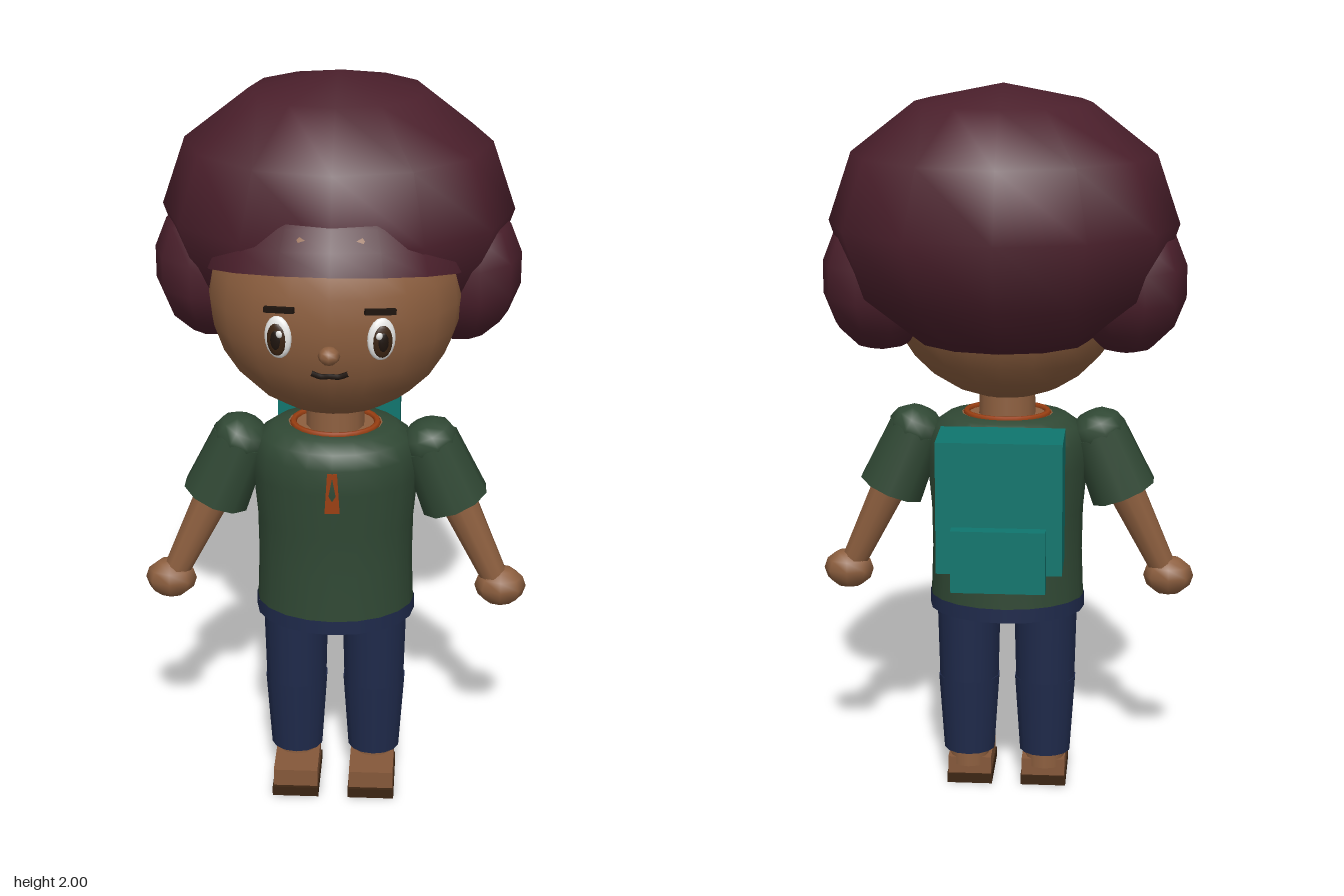
import * as THREE from 'three';

const paint = (name, color, opts = {}) => {
  const m = new THREE.MeshStandardMaterial({ color, ...opts });
  m.name = name;
  return m;
};

export function createModel() {
  const root = new THREE.Group();
  root.name = 'child';
  const both = { side: THREE.DoubleSide };
  const hair = paint('hairMaroon', 0x4a1f2b, both);
  const skin = paint('skinBrown', 0x8d5f3f);
  const shirt = paint('shirtGreen', 0x304834, both);
  const navy = paint('trouserNavy', 0x1f2a4b, both);
  const teal = paint('bagTeal', 0x0f766e);
  const orange = paint('trimOrange', 0x9a3f12);
  const shoe = paint('shoeTan', 0x85583a);
  const sole = paint('darkBrown', 0x3b2412);
  const white = paint('eyeWhite', 0xf0f0ee);
  const dark = paint('nearBlack', 0x1e140e);

  const add = (name, geo, mat, pos = [0, 0, 0], scale = [1, 1, 1], parent = root) => {
    const m = new THREE.Mesh(geo, mat);
    m.name = name;
    m.position.set(...pos);
    m.scale.set(...scale);
    parent.add(m);
    return m;
  };
  const ball = (name, mat, pos, size, ws = 16, hs = 12, parent = root, theta = Math.PI) =>
    add(name, new THREE.SphereGeometry(1, ws, hs, 0, Math.PI * 2, 0, theta), mat, pos, size, parent);
  const box = (name, mat, pos, size, parent = root) =>
    add(name, new THREE.BoxGeometry(...size), mat, pos, [1, 1, 1], parent);
  // Tapered limb between two points
  const limb = (name, mat, a, b, ra, rb, seg = 12) => {
    const p = new THREE.Vector3(...a), q = new THREE.Vector3(...b);
    const d = p.clone().sub(q);
    const m = add(name, new THREE.CylinderGeometry(ra, rb, d.length(), seg), mat);
    m.position.copy(p).add(q).multiplyScalar(0.5);
    m.quaternion.setFromUnitVectors(new THREE.Vector3(0, 1, 0), d.normalize());
    return m;
  };

  // Head and neck
  const C = [0, 1.465, 0.1], R = [0.33, 0.33, 0.29];
  const faceZ = (x, y) => C[2] + R[2] * Math.sqrt(1 - (x / R[0]) ** 2 - ((y - C[1]) / R[1]) ** 2);
  ball('head', skin, C, R, 20, 14);
  add('neck', new THREE.CylinderGeometry(0.075, 0.08, 0.18, 14), skin, [0, 1.12, 0.1]);

  // Hair: large cap, fringe shell and side puffs
  ball('hairCap', hair, [0, 1.64, -0.05], [0.46, 0.36, 0.375], 12, 5, root, Math.PI * 5 / 6);
  const fringe = ball('fringe', hair, [0, 1.465, 0.1], [0.345, 0.345, 0.303], 16, 8, root, 1.41);
  fringe.rotation.x = -0.26;
  for (const s of [1, -1])
    ball('hairPuff', hair, [s * 0.325, 1.485, -0.03], [0.16, 0.195, 0.178], 10, 7);

  // Face
  ball('nose', skin, [0, 1.4, 0.398], [0.028, 0.024, 0.026], 8, 6);
  for (const s of [1, -1]) {
    const eye = new THREE.Group();
    eye.name = 'eye';
    eye.position.set(s * 0.128, 1.435, faceZ(0.128, 1.435));
    eye.rotation.y = s * 0.35;
    root.add(eye);
    ball('eyeball', white, [0, 0, 0], [0.037, 0.056, 0.016], 16, 10, eye);
    ball('iris', sole, [0, -0.003, 0.01], [0.026, 0.043, 0.009], 16, 10, eye);
    ball('pupil', dark, [0, -0.003, 0.015], [0.015, 0.027, 0.006], 12, 8, eye);
    ball('eyeGlint', white, [-s * 0.012, 0.016, 0.02], [0.009, 0.01, 0.005], 8, 6, eye);
    const brow = box('eyebrow', dark, [s * 0.125, 1.508, faceZ(0.125, 1.508) + 0.003], [0.08, 0.014, 0.012]);
    brow.rotation.set(0, s * 0.35, -s * 0.1);
  }
  const lip = [[-0.046, 1.34], [-0.022, 1.331], [0, 1.333], [0.022, 1.331], [0.046, 1.34]]
    .map(([x, y]) => new THREE.Vector3(x, y, faceZ(x, y) + 0.002));
  add('mouth', new THREE.TubeGeometry(new THREE.CatmullRomCurve3(lip), 16, 0.007, 6), dark);

  // Shirt, neckline and trim
  const profile = [[0.213, 0.565], [0.208, 0.7], [0.21, 0.82], [0.222, 0.95], [0.22, 1.02], [0.2, 1.06], [0.165, 1.085], [0.125, 1.09]]
    .map(p => new THREE.Vector2(...p));
  add('shirt', new THREE.LatheGeometry(profile, 20), shirt, [0, 0, 0.097], [1, 1, 0.78]);
  add('upperChest', new THREE.CylinderGeometry(0.13, 0.14, 0.04, 20), skin, [0, 1.068, 0.097], [1, 1, 0.78]);
  const collar = add('collar', new THREE.TorusGeometry(0.112, 0.009, 6, 24), orange, [0, 1.09, 0.1], [1, 0.82, 1]);
  collar.rotation.x = Math.PI / 2;
  const tab = new THREE.Shape([[-0.013, 1.015], [-0.02, 0.9], [0.02, 0.9], [0.013, 1.015]].map(p => new THREE.Vector2(...p)));
  add('frontTab', new THREE.ExtrudeGeometry(tab, { depth: 0.009, bevelEnabled: false }), orange, [0, 0, 0.26]);

  // Waist
  add('waistband', new THREE.CylinderGeometry(0.216, 0.216, 0.04, 20, 1, true), navy, [0, 0.553, 0.097], [1, 1, 0.78]);
  add('hips', new THREE.CylinderGeometry(0.205, 0.2, 0.05, 20), skin, [0, 0.57, 0.097], [1, 1, 0.78]);

  for (const s of [1, -1]) {
    // Arms
    limb('sleeve', shirt, [s * 0.25, 1.04, 0.1], [s * 0.322, 0.868, 0.1], 0.08, 0.094, 10);
    const cap = ball('shoulder', shirt, [s * 0.25, 1.04, 0.1], [0.08, 0.062, 0.08], 10, 6);
    cap.rotation.z = s * 0.4;
    limb('forearm', skin, [s * 0.315, 0.9, 0.1], [s * 0.437, 0.64, 0.118], 0.052, 0.036, 10);
    ball('hand', skin, [s * 0.45, 0.62, 0.118], [0.07, 0.056, 0.054], 8, 6);

    // Legs
    const x = s * 0.108;
    add('thigh', new THREE.CylinderGeometry(0.09, 0.084, 0.24, 14), navy, [x, 0.44, 0.103], [1, 1, 1.04]);
    add('shin', new THREE.CylinderGeometry(1, 0.83, 0.224, 14), navy, [x, 0.208, 0.1], [0.087, 1, 0.08]);
    add('ankle', new THREE.CylinderGeometry(0.055, 0.055, 0.06, 12), skin, [x, 0.085, 0.095]);

    // Shoes
    box('shoeSole', sole, [s * 0.105, 0.014, 0.147], [0.128, 0.028, 0.195]);
    box('shoeUpper', shoe, [s * 0.105, 0.053, 0.145], [0.122, 0.05, 0.18]);
  }

  // Backpack
  box('backpack', teal, [0, 0.91, -0.152], [0.334, 0.36, 0.165]);
  box('backpackPocket', teal, [0, 0.775, -0.243], [0.25, 0.17, 0.055]);
  return root;
}
